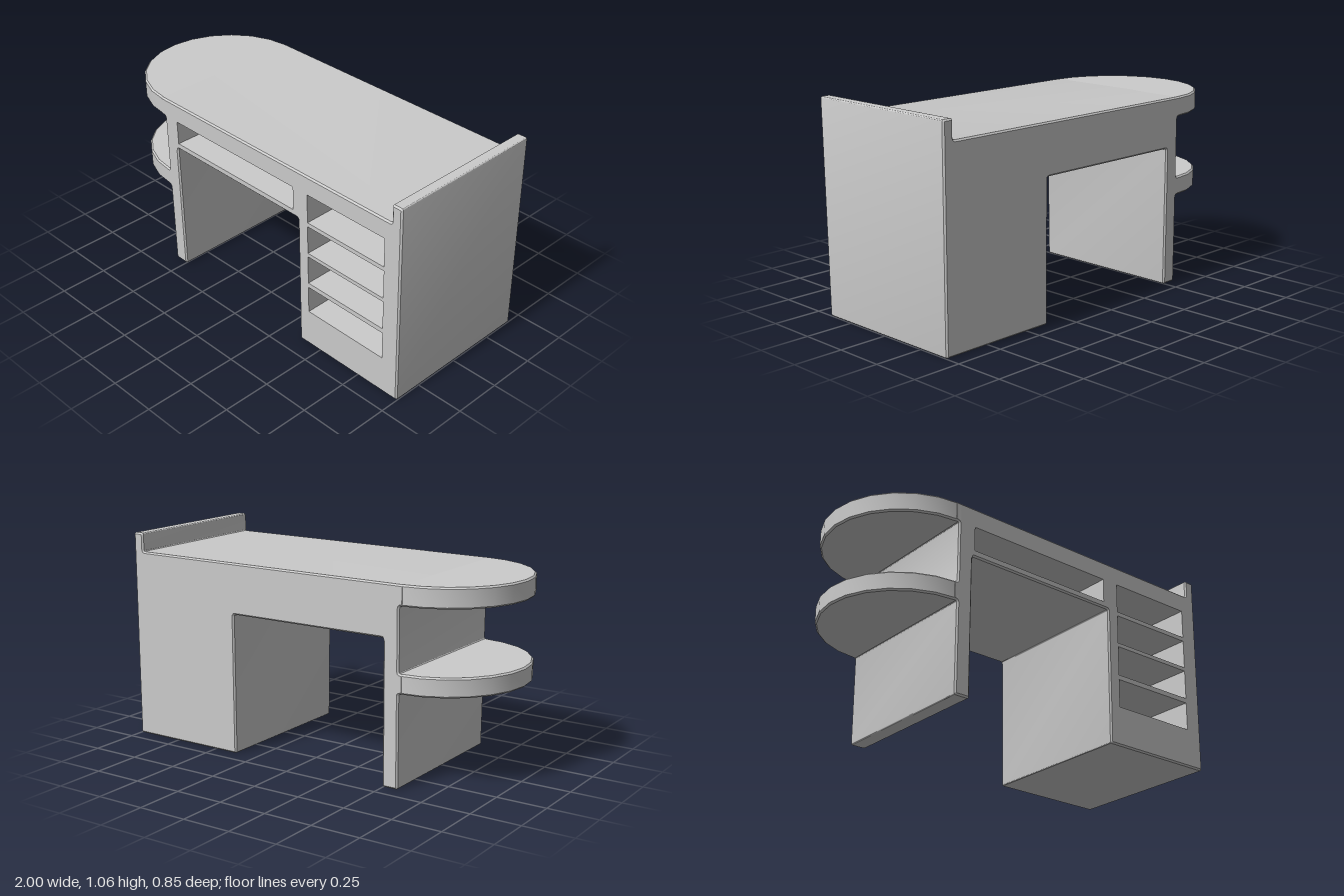
import * as THREE from 'three';
import { toCreasedNormals } from 'three/addons/utils/BufferGeometryUtils.js';

const BEVEL = 0.008;
const BACK = -0.425, DEPTH = 0.85;

// Closed shape with every corner softened by a small radius
function roundedShape(points, r) {
  const shape = new THREE.Shape();
  const v = points.map(([x, y]) => new THREE.Vector2(x, y));
  v.forEach((p, i) => {
    const toward = (q) => p.clone().add(q.clone().sub(p).setLength(r));
    const a = toward(v[(i + v.length - 1) % v.length]);
    const b = toward(v[(i + 1) % v.length]);
    if (i === 0) shape.moveTo(a.x, a.y); else shape.lineTo(a.x, a.y);
    shape.quadraticCurveTo(p.x, p.y, b.x, b.y);
  });
  shape.closePath();
  return shape;
}

function extrude(shape, depth) {
  const g = new THREE.ExtrudeGeometry(shape, {
    depth: depth - 2 * BEVEL, bevelEnabled: true, bevelSegments: 1,
    bevelThickness: BEVEL, bevelSize: BEVEL, bevelOffset: -BEVEL, curveSegments: 3,
  });
  return g.translate(0, 0, BEVEL);
}

// The front leans out slightly toward the top and toward the raised end
function leanFront(g) {
  const p = g.attributes.position;
  for (let i = 0; i < p.count; i++) {
    const z = p.getZ(i);
    if (z > 0) p.setZ(i, z * (0.405 + 0.019 * p.getY(i) + 0.006 * (p.getX(i) - 1)) / 0.425);
  }
  return toCreasedNormals(g, 0.5);
}

export function createModel() {
  const desk = new THREE.Group();
  desk.name = 'desk';
  const material = new THREE.MeshStandardMaterial({ color: 0xcccccc });
  const add = (name, geometry) => {
    const mesh = new THREE.Mesh(geometry, material);
    mesh.name = name;
    desk.add(mesh);
  };

  // Drawer openings: left, right, bottom, top
  const openings = [
    [-0.485, 0.337, 0.743, 0.867],
    [0.43, 0.905, 0.715, 0.867],
    [0.43, 0.905, 0.543, 0.693],
    [0.43, 0.905, 0.37, 0.523],
    [0.43, 0.905, 0.2, 0.345],
  ];

  // Body: leg panel, top, drawer cabinet and raised end in one profile
  const profile = roundedShape([
    [-0.6, 0.965], [-0.6, 0.865], [-0.577, 0.865], [-0.577, 0.553],
    [-0.6, 0.553], [-0.6, 0.458], [-0.577, 0.458], [-0.577, 0],
    [-0.495, 0], [-0.495, 0.71], [0.367, 0.71], [0.367, 0],
    [1, 0], [1, 1.06], [0.943, 1.06], [0.943, 0.965],
  ], 0.011);
  for (const [l, r, b, t] of openings) {
    profile.holes.push(new THREE.Path([[l, b], [l, t], [r, t], [r, b]].map(([x, y]) => new THREE.Vector2(x, y))));
  }
  const body = extrude(profile, DEPTH).translate(0, 0, BACK);

  // Keep the opening edges square instead of chamfered
  const p = body.attributes.position;
  const m = BEVEL + 0.001;
  for (let i = 0; i < p.count; i++) {
    const x = p.getX(i), y = p.getY(i);
    for (const [l, r, b, t] of openings) {
      if (x > l - m && x < r + m && y > b - m && y < t + m) {
        p.setXY(i, THREE.MathUtils.clamp(x, l, r), THREE.MathUtils.clamp(y, b, t));
        break;
      }
    }
  }
  add('body', leanFront(body));

  // Backs closing the drawer openings
  openings.forEach(([l, r, b, t], i) => {
    const back = new THREE.BoxGeometry(r - l, t - b, 0.05);
    back.translate((l + r) / 2, (b + t) / 2, BACK + 0.025);
    add(`drawerBack${i + 1}`, back);
  });

  // Half-round end of the top and the shelf below it
  const halfRound = new THREE.Shape();
  halfRound.moveTo(-0.565, 0.425);
  for (let i = 0; i <= 12; i++) {
    const a = Math.PI * (0.5 + i / 12);
    halfRound.lineTo(-0.58 + 0.42 * Math.cos(a), 0.425 * Math.sin(a));
  }
  halfRound.lineTo(-0.565, -0.425);
  halfRound.closePath();
  for (const [name, bottom, top] of [['roundTopEnd', 0.865, 0.965], ['roundShelf', 0.458, 0.553]]) {
    add(name, leanFront(extrude(halfRound, top - bottom).rotateX(-Math.PI / 2).translate(0, bottom, 0)));
  }
  return desk;
}
